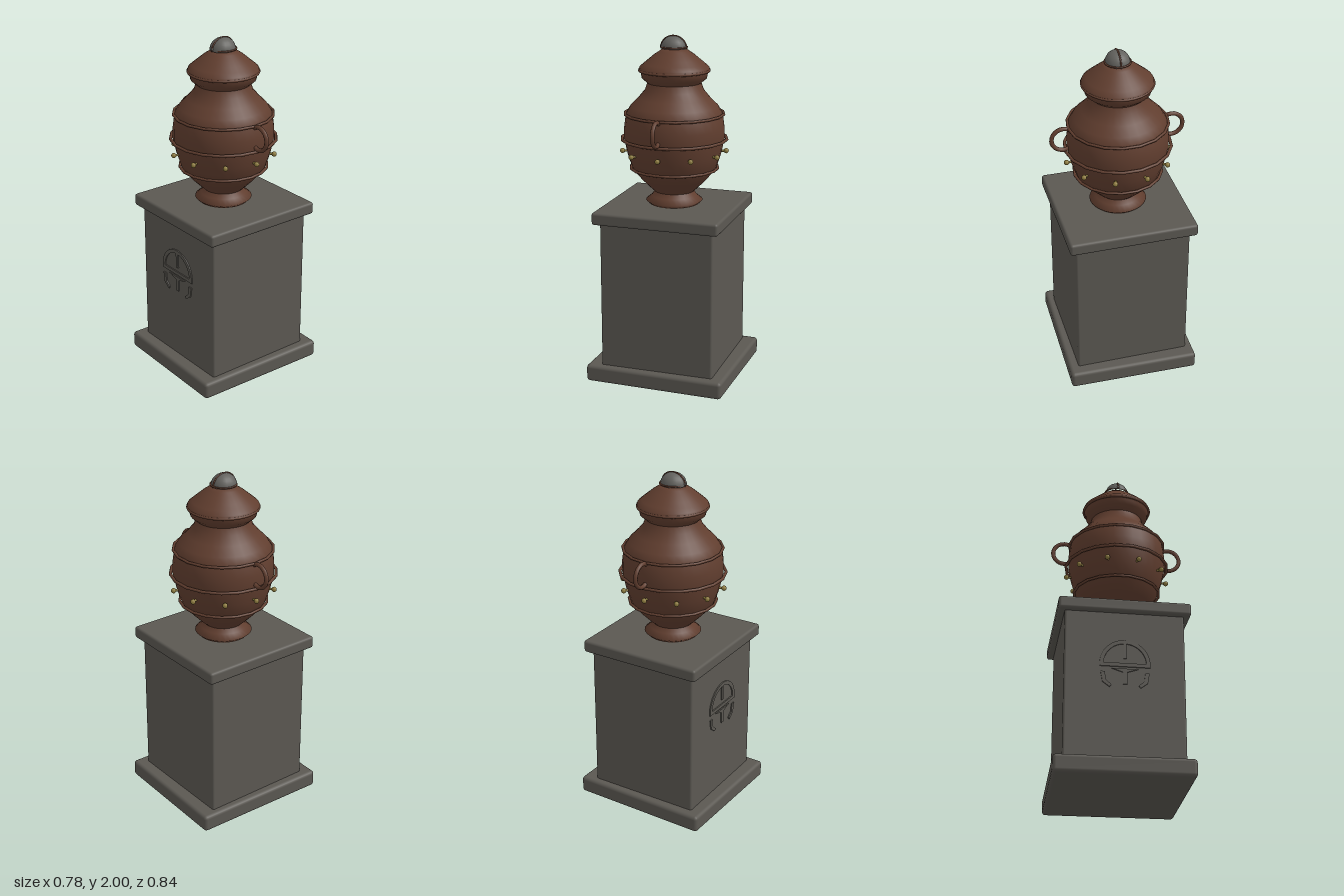
import * as THREE from 'three';
import { RoundedBoxGeometry } from 'three/addons/geometries/RoundedBoxGeometry.js';

export function createModel() {
  const root = new THREE.Group();
  root.name = 'urnOnPedestal';

  const mat = (name, color, side = THREE.FrontSide) => {
    const m = new THREE.MeshStandardMaterial({ color, side });
    m.name = name;
    return m;
  };
  const stone = mat('stone', 0x5b5852);
  const clay = mat('clay', 0x613e2f, THREE.DoubleSide);
  const brass = mat('brass', 0x8f7d40);
  const iron = mat('iron', 0x63625e);

  const add = (name, geometry, material, x = 0, y = 0, z = 0, parent = root) => {
    const mesh = new THREE.Mesh(geometry, material);
    mesh.name = name;
    mesh.position.set(x, y, z);
    parent.add(mesh);
    return mesh;
  };

  // Pedestal: slightly twisted base slab, shaft and cap
  add('pedestalBase', new RoundedBoxGeometry(0.765, 0.1, 0.825, 2, 0.02), stone, 0, 0.05, 0).rotation.y = -0.021;
  add('pedestalShaft', new RoundedBoxGeometry(0.67, 0.88, 0.67, 2, 0.012), stone, 0, 0.53, 0);
  add('pedestalCap', new RoundedBoxGeometry(0.744, 0.072, 0.744, 2, 0.015), stone, 0, 0.992, 0);

  // Shallow helmet relief carved on the front of the shaft
  const relief = new THREE.Group();
  relief.name = 'helmetRelief';
  relief.position.set(0, 0.65, 0.333);
  root.add(relief);
  const plate = (name, points) => {
    const shape = new THREE.Shape(points.map(([x, y]) => new THREE.Vector2(x, y)));
    add(name, new THREE.ExtrudeGeometry(shape, { depth: 0.009, bevelEnabled: false }), stone, 0, 0, 0, relief);
  };
  const crown = new THREE.Shape();
  crown.absarc(0, 0, 0.14, 0, Math.PI, false);
  crown.absarc(0, 0, 0.118, Math.PI, 0, true);
  add('reliefCrown', new THREE.ExtrudeGeometry(crown, { depth: 0.009, bevelEnabled: false, curveSegments: 24 }),
    stone, 0, 0, 0, relief);
  plate('reliefBand', [[-0.14, -0.018], [0.14, -0.018], [0.14, 0.003], [-0.14, 0.003]]);
  plate('reliefCrest', [[-0.009, 0.03], [0.009, 0.03], [0.009, 0.12], [-0.009, 0.12]]);
  plate('reliefNose', [[-0.012, -0.12], [0.012, -0.12], [0.012, -0.05], [0.075, -0.03], [-0.075, -0.03], [-0.012, -0.05]]);
  for (const s of [-1, 1]) {
    const cheek = [[0.112, -0.05], [0.135, -0.05], [0.125, -0.11], [0.085, -0.14], [0.075, -0.125], [0.105, -0.1]];
    plate('reliefCheek', cheek.map(([x, y]) => [x * s, y]));
  }

  // Turned pieces
  const lathe = (name, profile) =>
    add(name, new THREE.LatheGeometry(profile.map(([r, y]) => new THREE.Vector2(r, y)), 32), clay);
  lathe('urnFoot', [[0, 1.028], [0.142, 1.028], [0.164, 1.048], [0.13, 1.075], [0.112, 1.105]]);
  lathe('urnBody', [[0.112, 1.1], [0.14, 1.125], [0.19, 1.175], [0.24, 1.235], [0.268, 1.32], [0.288, 1.41],
    [0.287, 1.48], [0.277, 1.555], [0.25, 1.6], [0.205, 1.645], [0.168, 1.69], [0.152, 1.735]]);
  lathe('urnNeck', [[0.152, 1.73], [0.185, 1.758], [0.19, 1.785], [0.196, 1.8]]);
  lathe('lid', [[0.203, 1.8], [0.198, 1.82], [0.175, 1.84], [0.145, 1.865], [0.115, 1.89], [0.085, 1.91],
    [0.065, 1.925], [0, 1.93]]);

  // Raised hoops around the urn and lid
  const hoop = (name, r, y, tube, sides) =>
    add(name, new THREE.TorusGeometry(r, tube, 8, sides), clay, 0, y, 0).rotation.x = Math.PI / 2;
  hoop('lowerHoop', 0.252, 1.24, 0.008, 18);
  hoop('middleHoop', 0.302, 1.41, 0.009, 18);
  hoop('upperHoop', 0.284, 1.555, 0.008, 18);
  hoop('lidRim', 0.198, 1.802, 0.008, 32);

  // Side handles
  for (const s of [-1, 1])
    add(s > 0 ? 'leftHandle' : 'rightHandle', new THREE.TorusGeometry(0.067, 0.0125, 8, 24), clay, 0.313 * s, 1.49, 0);

  // Brass studs, each on a short pin from the body
  for (let i = 0; i < 10; i++) {
    const a = i * Math.PI / 5;
    const stud = new THREE.Group();
    stud.name = 'stud';
    stud.rotation.y = a;
    add('studHead', new THREE.SphereGeometry(0.015, 10, 8), brass, 0.298, 1.335, 0, stud);
    add('studPin', new THREE.CylinderGeometry(0.007, 0.007, 0.04, 8), brass, 0.28, 1.335, 0, stud).rotation.z = Math.PI / 2;
    root.add(stud);
  }

  // Domed finial with rim, strap and front boss
  const dome = add('finialDome', new THREE.SphereGeometry(0.07, 16, 8, 0, Math.PI * 2, 0, Math.PI / 2), iron, 0, 1.925, 0.004);
  dome.scale.z = 1.08;
  hoop('finialRim', 0.072, 1.932, 0.005, 24);
  const strap = add('finialStrap', new THREE.TorusGeometry(0.07, 0.005, 6, 24, Math.PI), clay, 0, 1.925, 0.004);
  strap.rotation.y = Math.PI / 2;
  strap.scale.x = 1.08;
  add('finialBoss', new THREE.SphereGeometry(0.008, 8, 6), iron, 0, 1.938, 0.077);

  return root;
}
